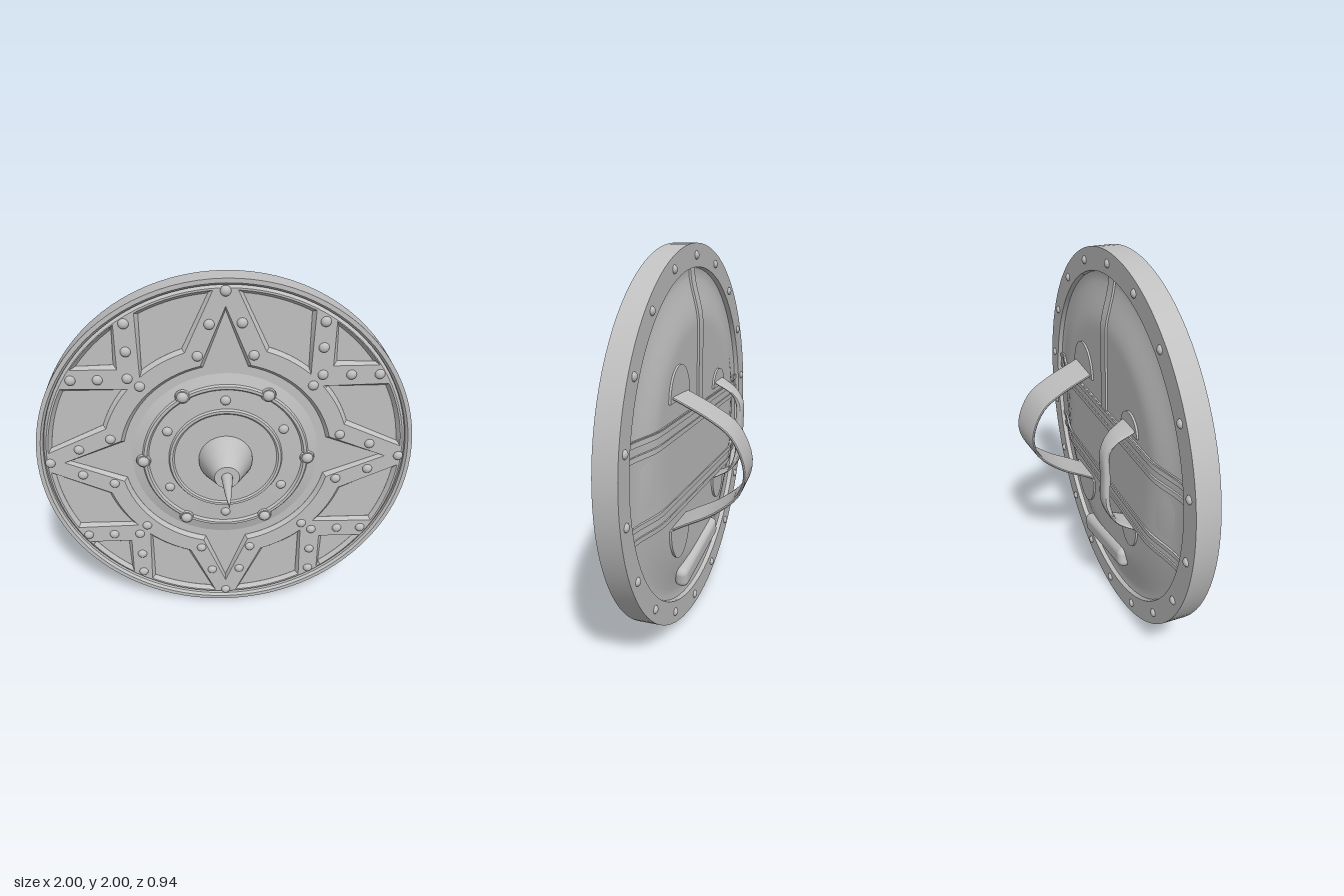
import * as THREE from 'three';
import { toCreasedNormals } from 'three/addons/utils/BufferGeometryUtils.js';
import { RoundedBoxGeometry } from 'three/addons/geometries/RoundedBoxGeometry.js';

export function createModel() {
  const steel = new THREE.MeshStandardMaterial({ color: 0xc0c0c0 });
  steel.name = 'steel';
  const root = new THREE.Group();
  root.name = 'shield';
  const shield = new THREE.Group();
  shield.name = 'shieldParts';
  shield.position.y = 1;
  root.add(shield);

  const add = (name, geometry, x = 0, y = 0, z = 0) => {
    const m = new THREE.Mesh(geometry, steel);
    m.name = name;
    m.position.set(x, y, z);
    shield.add(m);
    return m;
  };
  // Lathe around z; points are [radius, z], running from back to front
  const latheZ = (pts, seg = 96, crease = 0.5) => toCreasedNormals(
    new THREE.LatheGeometry(pts.map(p => new THREE.Vector2(...p)), seg).rotateX(Math.PI / 2), crease);
  const arc = (r, d0, d1, n = 12) => Array.from({ length: n + 1 }, (_, i) => {
    const a = THREE.MathUtils.degToRad(d0 + (d1 - d0) * i / n);
    return [r * Math.cos(a), r * Math.sin(a)];
  });
  const vecs = pts => pts.map(([x, y]) => new THREE.Vector2(x, y));

  // Body: shallow dished back, flat back rim, thin raised front lip
  const dish = r => -0.104 + 0.049 * THREE.MathUtils.smoothstep(r, 0.6, 0.88);
  const back = Array.from({ length: 13 }, (_, i) => i === 0 ? 0 : 0.55 + 0.0275 * (i - 1)).map(r => [r, dish(r)]);
  add('body', latheZ([...back, [0.878, -0.06], [0.882, -0.085], [1, -0.085], [1, 0.035],
    [0.978, 0.035], [0.966, 0.022], [0.964, 0], [0, 0]]));

  // Front straps: one plate with sloped cutouts for the panels and the star
  const plate = new THREE.Shape(vecs(arc(0.95, 0, 360, 96).slice(0, -1)));
  const panel = [...arc(0.94, 86.3, 62.3), ...arc(0.655, 49, 72)];
  const corner = [[0.54, 0.54], ...arc(0.945, 34.9, 55.1)];
  const swapped = panel.map(([x, y]) => [y, x]);
  for (const sx of [1, -1]) for (const sy of [1, -1])
    for (const p of [panel, swapped, corner])
      plate.holes.push(new THREE.Path(vecs(p.map(([x, y]) => [x * sx, y * sy]))));
  const star = [];
  for (let q = 0; q < 4; q++) star.push(...arc(0.86, q * 90, q * 90, 1).slice(1), ...arc(0.565, q * 90 + 13, q * 90 + 77, 16));
  plate.holes.push(new THREE.Path(vecs(star)));
  add('frontStraps', toCreasedNormals(new THREE.ExtrudeGeometry(plate, {
    depth: 0.001, bevelEnabled: true, bevelThickness: 0.022, bevelSize: 0.018, bevelSegments: 1 }), 0.5));

  // Central rings, boss and spike
  add('centreRings', latheZ([[0.5, 0], [0.445, 0.016], [0.437, 0.027], [0.422, 0.027], [0.412, 0.014],
    [0.305, 0.018], [0.298, 0.03], [0.284, 0.03], [0.275, 0.022], [0, 0.022]]));
  add('boss', latheZ([[0.145, 0.02], [0.143, 0.037], [0.065, 0.2], [0, 0.2]], 32));
  add('spike', latheZ([[0.03, 0.195], [0.018, 0.34], [0, 0.47]], 16));

  // Domed rivets
  const dome = (r, h) => new THREE.SphereGeometry(r, 16, 5, 0, Math.PI * 2, 0, Math.PI / 2)
    .rotateX(Math.PI / 2).scale(1, 1, h / r);
  const rivet = dome(0.027, 0.02), bigRivet = dome(0.031, 0.024);
  const collar = new THREE.CylinderGeometry(0.036, 0.04, 0.012, 20).rotateX(Math.PI / 2);
  const strapRivets = [[0, 0.935], [0.08, 0.775], [0.14, 0.605], [0.485, 0.775], [0.485, 0.64], [0.49, 0.492],
    [0.445, 0.433], [0.635, 0.49], [0.78, 0.49], [0.605, 0.14], [0.77, 0.08]];
  for (let q = 0; q < 4; q++) for (const [x, y] of strapRivets) {
    const c = [1, 0, -1, 0][q], s = [0, 1, 0, -1][q];
    add('strapRivet', rivet, x * c - y * s, x * s + y * c, 0.021);
  }
  for (const [x, y] of arc(0.44, 0, 300, 5)) {
    add('ringRivetCollar', collar, x, y, 0.023);
    add('ringRivet', bigRivet, x, y, 0.026);
  }
  for (const [x, y] of arc(0.353, 30, 330, 5)) add('centreRivet', rivet, x, y, 0.014);
  const rimRivet = dome(0.022, 0.016).rotateY(Math.PI);
  for (const [x, y] of arc(0.94, 10, 350, 17)) add('rimRivet', rimRivet, x, y, -0.084);

  // Boards on the back, bent to follow the dish
  const board = (name, w, h, t, x, y) => {
    const g = new THREE.BoxGeometry(w, h, t, w > h ? 40 : 1, w > h ? 1 : 20, 1).translate(x, y, 0);
    const p = g.attributes.position;
    for (let i = 0; i < p.count; i++) p.setZ(i, p.getZ(i) + dish(Math.hypot(p.getX(i), p.getY(i))));
    add(name, toCreasedNormals(g, 0.5));
  };
  board('crossBoard', 1.74, 0.49, 0.016, 0, -0.065);
  for (const y of [0.165, 0.1, -0.23, -0.295]) board('boardMoulding', 1.74, 0.025, 0.028, 0, y);
  board('uprightBatten', 0.065, 0.71, 0.022, 0, 0.525);

  // Sweep of a rounded-rectangle section along a path in the yz plane; rows are [y, z, width, thickness]
  const sweep = (rows, x0, power, shear, steps) => {
    const curve = new THREE.CatmullRomCurve3(rows.map(([y, z]) => new THREE.Vector3(0, y, z)), false, 'centripetal');
    const pos = [], idx = [], n = 16, X = new THREE.Vector3(1, 0, 0);
    const soft = v => Math.sign(v) * Math.abs(v) ** power;
    for (let i = 0; i <= steps; i++) {
      const t = i / steps, f = t * (rows.length - 1), k = Math.min(Math.floor(f), rows.length - 2);
      const w = THREE.MathUtils.lerp(rows[k][2], rows[k + 1][2], f - k) / 2;
      const th = THREE.MathUtils.lerp(rows[k][3], rows[k + 1][3], f - k) / 2;
      const p = curve.getPoint(t), N = curve.getTangent(t).cross(X);
      for (let j = 0; j < n; j++) {
        const a = j / n * Math.PI * 2, dx = w * soft(Math.cos(a)), dn = th * soft(Math.sin(a));
        pos.push(x0 + dx, p.y + N.y * dn, p.z + N.z * dn - shear * dx);
        if (i < steps) {
          const A = i * n + j, B = i * n + (j + 1) % n;
          idx.push(A, B, B + n, A, B + n, A + n);
        }
      }
    }
    const g = new THREE.BufferGeometry();
    g.setAttribute('position', new THREE.Float32BufferAttribute(pos, 3));
    g.setIndex(idx);
    return toCreasedNormals(g, 0.7);
  };
  const armPath = [[0.3, -0.095], [0.265, -0.17], [0.21, -0.28], [0.13, -0.39], [-0.03, -0.458],
    [-0.15, -0.43], [-0.26, -0.31], [-0.335, -0.17], [-0.375, -0.095]];
  add('armStrap', sweep(armPath.map(p => [...p, 0.23, 0.014]), 0.315, 0.3, 0.09, 32));
  add('handGrip', sweep([[0.25, -0.095, 0.16, 0.014], [0.225, -0.14, 0.15, 0.014], [0.185, -0.2, 0.12, 0.018],
    [0.12, -0.238, 0.085, 0.035], [-0.02, -0.238, 0.08, 0.04], [-0.17, -0.238, 0.085, 0.035],
    [-0.265, -0.2, 0.12, 0.018], [-0.305, -0.14, 0.15, 0.014], [-0.325, -0.095, 0.16, 0.014]], -0.335, 0.7, 0, 40));

  // Half-round anchor tabs at the strap ends
  const tab = (name, x, y, w, h, dir) => {
    const s = new THREE.Shape(vecs(arc(1, 0, 180, 20).map(([u, v]) => [u * w, v * h])));
    const g = new THREE.ExtrudeGeometry(s, { depth: 0.012, bevelEnabled: false });
    if (dir < 0) g.rotateZ(Math.PI);
    add(name, toCreasedNormals(g, 0.5), x, y, -0.115);
  };
  tab('armStrapTab', 0.315, 0.27, 0.14, 0.17, 1);
  tab('armStrapTab', 0.315, -0.37, 0.14, 0.19, -1);
  tab('handGripTab', -0.335, 0.21, 0.1, 0.1, 1);
  tab('handGripTab', -0.335, -0.32, 0.1, 0.14, -1);

  // Slanted padded bar below the straps
  add('lowerBar', new RoundedBoxGeometry(0.57, 0.11, 0.075, 4, 0.035), 0.01, -0.66, -0.1).rotation.z = -0.18;

  return root;
}
